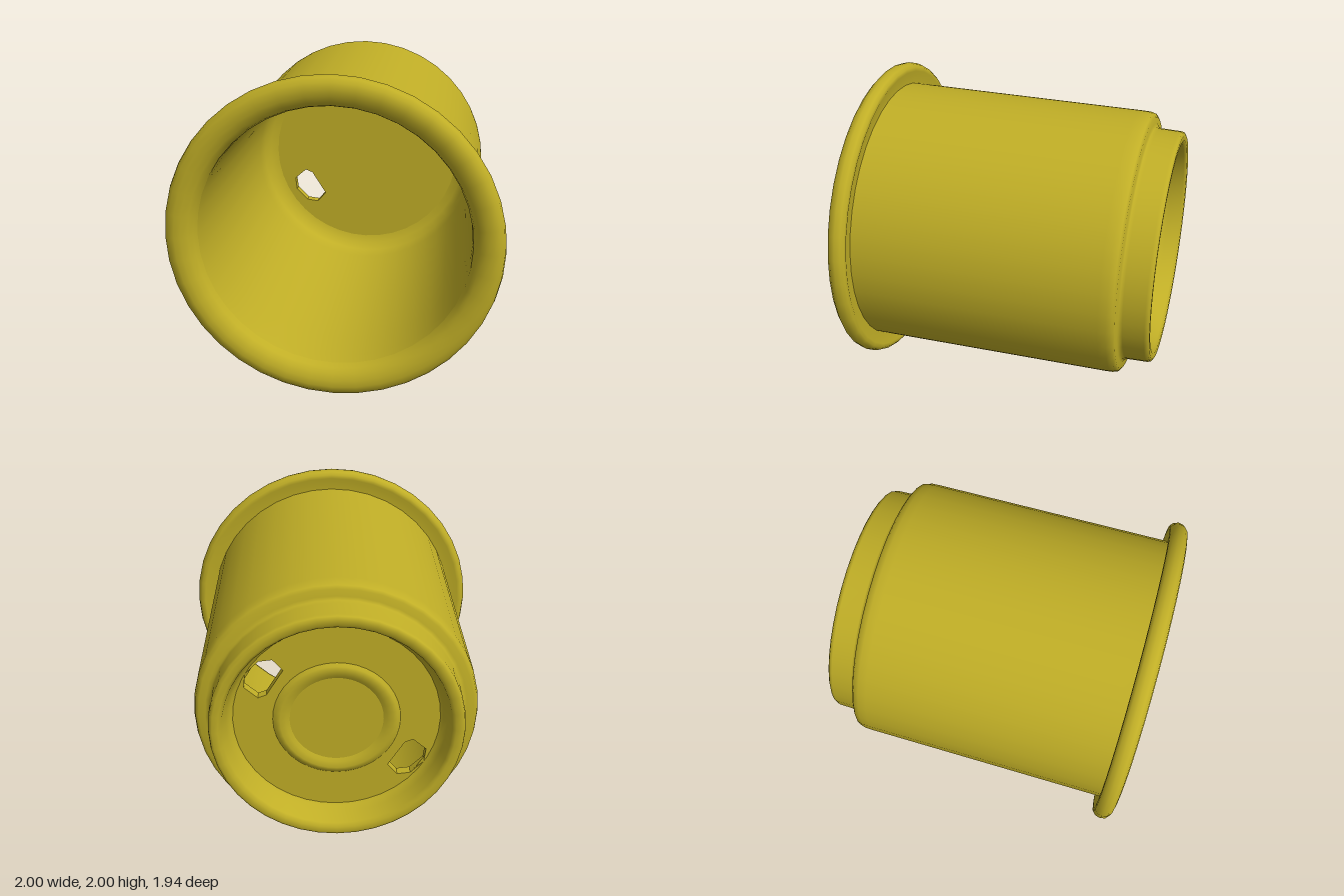
import * as THREE from 'three';

const olive = new THREE.MeshStandardMaterial({ color: 0xc0ae26 });
olive.name = 'olive yellow';

// Turned part whose axis runs along z; points are [radius, z]
function turned(name, points, segments = 40) {
  const geometry = new THREE.LatheGeometry(points.map(([r, z]) => new THREE.Vector2(r, z)), segments);
  geometry.rotateX(Math.PI / 2);
  const mesh = new THREE.Mesh(geometry, olive);
  mesh.name = name;
  return mesh;
}

export function createModel() {
  const group = new THREE.Group();
  group.name = 'cup';
  const cup = new THREE.Group();
  cup.name = 'cupBody';
  cup.position.y = 1;
  group.add(cup);

  // Foot recess, foot, stepped shoulder and outer wall
  cup.add(turned('outerWall', [
    [0.60, -0.81], [0.63, -0.83], [0.65, -0.87], [0.67, -0.95], [0.69, -0.968],
    [0.725, -0.97], [0.742, -0.96], [0.748, -0.94], [0.752, -0.81], [0.76, -0.79],
    [0.78, -0.782], [0.82, -0.778], [0.84, -0.765], [0.85, -0.73], [0.852, -0.68],
    [0.864, 0.80], [0.865, 0.87],
  ]));

  // Rolled lip with a slight hollow behind it
  cup.add(turned('rim', [
    [0.855, 0.865], [0.92, 0.862], [0.945, 0.852], [0.97, 0.854], [0.988, 0.872],
    [0.998, 0.905], [0.99, 0.938], [0.965, 0.962], [0.93, 0.97], [0.89, 0.966],
    [0.85, 0.948], [0.825, 0.92], [0.812, 0.88],
  ]));

  // Inside of the wall, rounding into the floor
  cup.add(turned('innerWall', [
    [0.812, 0.88], [0.806, 0.80], [0.80, 0.6], [0.77, -0.6], [0.755, -0.69],
    [0.72, -0.745], [0.65, -0.765],
  ]));

  // Floor plate with two opposite drain holes
  const floorShape = new THREE.Shape().absarc(0, 0, 0.68, 0, Math.PI * 2);
  const hole = [[0.37, 0.40], [0.31, 0.33], [0.36, 0.25], [0.41, 0.17], [0.46, 0.15],
    [0.54, 0.22], [0.53, 0.31], [0.45, 0.39]];
  for (const s of [1, -1]) {
    floorShape.holes.push(new THREE.Path(hole.map(([x, y]) => new THREE.Vector2(s * x, s * y))));
  }
  const floor = new THREE.Mesh(
    new THREE.ExtrudeGeometry(floorShape, { depth: 0.06, bevelEnabled: false, curveSegments: 40 }), olive);
  floor.name = 'floor';
  floor.position.z = -0.82;
  cup.add(floor);

  // Low ring on the underside of the floor
  cup.add(turned('undersideRing', [
    [0.27, -0.815], [0.30, -0.832], [0.335, -0.842], [0.36, -0.835], [0.385, -0.815],
  ]));

  return group;
}
